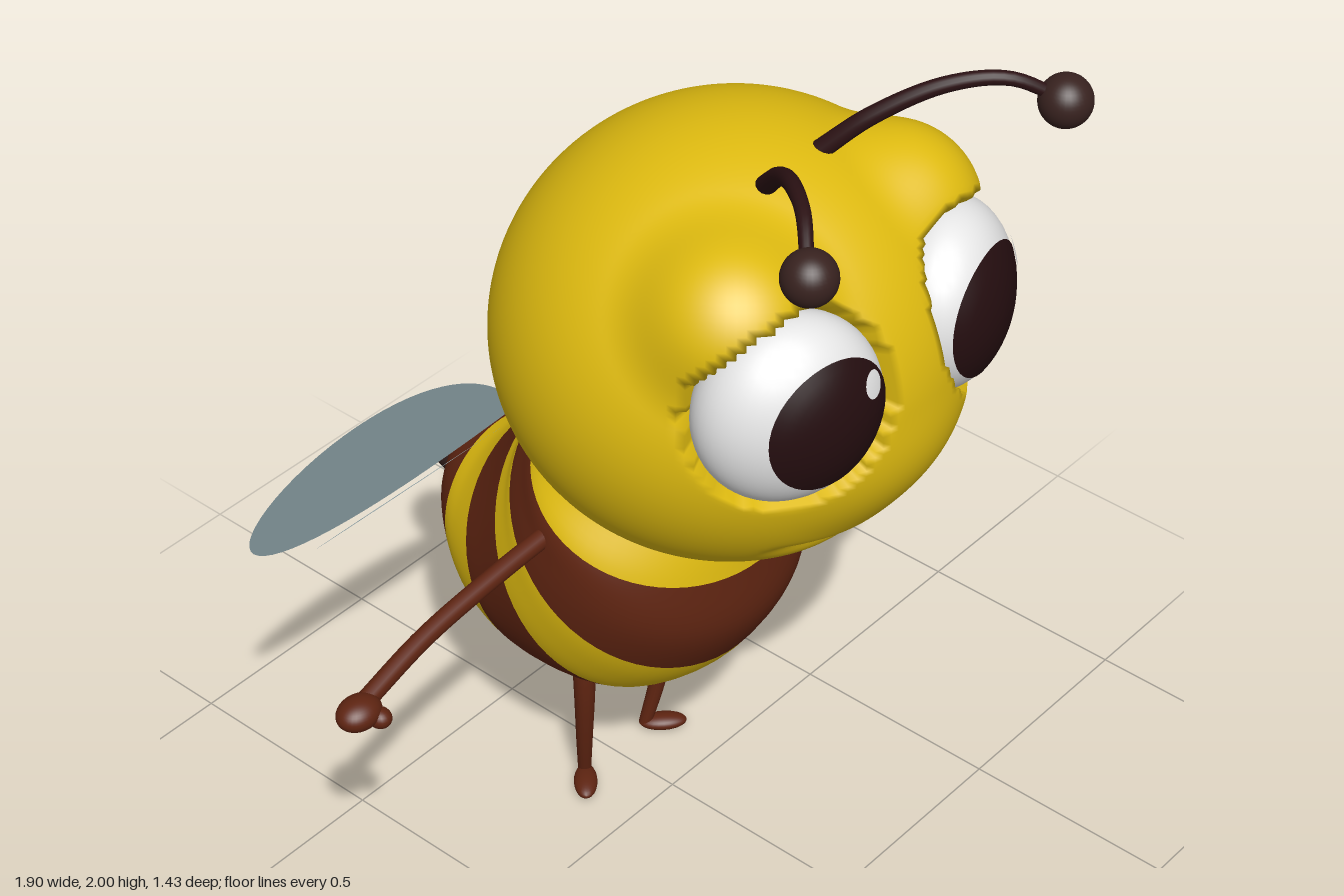
import * as THREE from 'three';
import { mergeVertices } from 'three/addons/utils/BufferGeometryUtils.js';

const V = (x, y, z) => new THREE.Vector3(x, y, z);
const mat = (name, color, extra = {}) => {
  const m = new THREE.MeshStandardMaterial({ color, ...extra });
  m.name = name;
  return m;
};

export function createModel() {
  const yellow = mat('honey yellow', 0xdfbb10);
  const brown = mat('stripe brown', 0x5e2411);
  const dark = mat('dark brown', 0x38221f);
  const feeler = mat('feeler brown', 0x2c1214);
  const white = mat('eye white', 0xe6e6e6);
  const iris = mat('iris', 0x240d0f);
  const glint = mat('glint', 0xf4f4f4);
  const wingBlue = mat('wing blue', 0xb9d3da, { side: THREE.DoubleSide });

  const model = new THREE.Group();
  model.name = 'bee';
  const add = (name, geometry, material) => {
    const mesh = new THREE.Mesh(geometry, material);
    mesh.name = name;
    model.add(mesh);
    return mesh;
  };
  const ellipsoid = (name, material, c, r, seg = 32) => {
    const g = new THREE.SphereGeometry(1, seg, Math.round(seg * 0.7));
    const mesh = add(name, g.scale(...r), material);
    mesh.position.set(...c);
    return mesh;
  };
  // Round tube along a curve whose radius runs from r0 to r1
  const limb = (name, material, points, r0, r1) => {
    const curve = new THREE.CatmullRomCurve3(points);
    const n = 28, g = new THREE.TubeGeometry(curve, n, 1, 14);
    const p = g.attributes.position, v = V(0, 0, 0);
    for (let i = 0; i < p.count; i++) {
      const t = Math.floor(i / 15) / n, c = curve.getPointAt(t);
      v.fromBufferAttribute(p, i).sub(c).multiplyScalar(r0 + (r1 - r0) * t).add(c);
      p.setXYZ(i, v.x, v.y, v.z);
    }
    return add(name, g, material);
  };

  // Eye ellipsoids, turned outwards; also used for the sockets
  const eyeR = V(0.195, 0.203, 0.14);
  const eyeMatrix = (s) => new THREE.Matrix4().compose(
    V(s * 0.247, 1.482, 0.502),
    new THREE.Quaternion().setFromAxisAngle(V(0, 1, 0), s * 0.44), eyeR);
  const eyeInverse = eyeMatrix(1).invert();

  // Head: skull, brows and muzzle blended, with eye sockets cut out
  const blob = (p, c, r) =>
    (Math.hypot((p.x - c[0]) / r[0], (p.y - c[1]) / r[1], (p.z - c[2]) / r[2]) - 1) * Math.min(...r);
  const smin = (a, b, k) => {
    const h = Math.max(k - Math.abs(a - b), 0) / k;
    return Math.min(a, b) - h * h * k / 4;
  };
  const headField = (p) => {
    const q = V(Math.abs(p.x), p.y, p.z);
    let d = blob(q, [0, 1.38, 0.16], [0.5, 0.475, 0.49]);
    d = smin(d, blob(q, [0.25, 1.62, 0.36], [0.18, 0.18, 0.185]), 0.06);
    d = smin(d, blob(q, [0, 1.305, 0.39], [0.31, 0.22, 0.255]), 0.03);
    const socket = (q.applyMatrix4(eyeInverse).length() - 1) * 0.14 - 0.004;
    return -smin(-d, socket, 0.02);
  };
  const headCentre = V(0, 1.38, 0.16);
  let head = new THREE.SphereGeometry(1, 160, 120);
  head.deleteAttribute('uv');
  head.deleteAttribute('normal');
  head = mergeVertices(head, 1e-5);
  const hp = head.attributes.position, dir = V(0, 0, 0), pt = V(0, 0, 0);
  const along = (t) => pt.copy(dir).multiplyScalar(t).add(headCentre);
  for (let i = 0; i < hp.count; i++) {
    dir.fromBufferAttribute(hp, i).normalize();
    let hi = 0.75;
    while (hi > 0.1 && headField(along(hi)) > 0) hi -= 0.012;
    let lo = hi;
    hi += 0.012;
    for (let k = 0; k < 14; k++) {
      const m = (lo + hi) / 2;
      if (headField(along(m)) > 0) hi = m; else lo = m;
    }
    along(lo);
    // Smile crease
    if (pt.z > 0.3 && Math.abs(pt.x) < 0.27) {
      const off = (pt.y - (1.06 + 0.6 * pt.x * pt.x)) / 0.022;
      const fade = 1 - (pt.x / 0.27) ** 2;
      along(lo - 0.03 * fade * Math.exp(-off * off));
    }
    hp.setXYZ(i, pt.x, pt.y, pt.z);
  }
  head.computeVertexNormals();
  add('head', head, yellow);

  // Striped body: rings given by belly point (z, y), back point (z, y) and half width
  const rings = [
    [0.15, 1.1, -0.2, 1.15, 0.22], [0.22, 0.93, -0.235, 1.08, 0.28],
    [0.243, 0.8, -0.262, 1.04, 0.335], [0.25, 0.66, -0.287, 1.02, 0.352],
    [0.19, 0.535, -0.307, 1.0, 0.357], [0.12, 0.45, -0.318, 0.98, 0.352],
    [0.03, 0.38, -0.335, 0.96, 0.342], [-0.09, 0.345, -0.375, 0.91, 0.322],
    [-0.2, 0.34, -0.42, 0.86, 0.3], [-0.33, 0.365, -0.46, 0.825, 0.265],
    [-0.435, 0.43, -0.505, 0.8, 0.22], [-0.54, 0.52, -0.56, 0.775, 0.15],
    [-0.59, 0.6, -0.6, 0.75, 0.075]];
  const belly = new THREE.CatmullRomCurve3(rings.map((r) => V(r[4], r[1], r[0])));
  const back = new THREE.CatmullRomCurve3(rings.map((r) => V(0, r[3], r[2])));
  const around = 64, sub = 6, rows = (rings.length - 1) * sub;
  const pos = [], idx = [];
  for (let j = 0; j <= rows; j++) {
    const a = belly.getPoint(j / rows), b = back.getPoint(j / rows);
    for (let i = 0; i < around; i++) {
      const t = i / around * Math.PI * 2, s = Math.sin(t) / 2;
      pos.push(a.x * Math.cos(t), (a.y + b.y) / 2 + (a.y - b.y) * s, (a.z + b.z) / 2 + (a.z - b.z) * s);
      if (j === rows) continue;
      const p = j * around + i, q = j * around + (i + 1) % around;
      idx.push(p, q, p + around, q, q + around, p + around);
    }
  }
  const body = new THREE.BufferGeometry();
  body.setAttribute('position', new THREE.Float32BufferAttribute(pos, 3));
  body.setIndex(idx);
  body.computeVertexNormals();
  const stripe = 2 * sub * around * 6;
  for (let k = 0; k < 6; k++) body.addGroup(k * stripe, stripe, k % 2);
  add('stripedBody', body, [yellow, brown]);
  ellipsoid('stinger', dark, [0, 0.683, -0.592], [0.083, 0.083, 0.125]).rotation.x = 0.12;

  // Disc laid over the front of an eye
  const eyeDisc = (name, material, matrix, x, y, r, lift) => {
    const g = new THREE.RingGeometry(0, r, 40, 8).translate(x, y, 0);
    const p = g.attributes.position, inv = matrix.clone().invert();
    const ball = new THREE.Sphere(V(0, 0, 0), lift), hit = V(0, 0, 0);
    for (let i = 0; i < p.count; i++) {
      const ray = new THREE.Ray(V(p.getX(i), p.getY(i), 2), V(0, 0, -1)).applyMatrix4(inv);
      if (!ray.intersectSphere(ball, hit)) continue;
      hit.applyMatrix4(matrix);
      p.setXYZ(i, hit.x, hit.y, hit.z);
    }
    g.computeVertexNormals();
    add(name, g, material);
  };

  // Teardrop wing from its root, along an axis, spread towards 'side'
  const wing = (name, s, root, axis, side, length, half) => {
    const outline = [];
    for (let i = 0; i < 64; i++) {
      const t = i / 64 * Math.PI * 2;
      outline.push(new THREE.Vector2(length * (1 - Math.cos(t)) / 2,
        half / 0.77 * Math.sin(t) * Math.abs(Math.sin(t / 2))));
    }
    const u = axis.clone().normalize();
    const w = u.clone().cross(side).normalize();
    const v = w.clone().cross(u);
    for (const a of [root, u, v, w]) a.x *= s;
    const m = new THREE.Matrix4().makeBasis(u, v, w.multiplyScalar(s)).setPosition(root);
    add(name, new THREE.ShapeGeometry(new THREE.Shape(outline)).applyMatrix4(m), wingBlue);
  };

  for (const [s, side] of [[1, 'left'], [-1, 'right']]) {
    // Eyes
    const m = eyeMatrix(s);
    add(side + 'Eye', new THREE.SphereGeometry(1, 48, 32).applyMatrix4(m), white);
    eyeDisc(side + 'Iris', iris, m, s * 0.247, 1.49, 0.141, 1.02);
    eyeDisc(side + 'Glint', glint, m, s > 0 ? 0.372 : -0.165, 1.555, 0.027, 1.04);

    // Antennae
    limb(side + 'Antenna', feeler, [V(s * 0.08, 1.81, 0.3), V(s * 0.14, 1.9, 0.385),
      V(s * 0.23, 1.97, 0.49), V(s * 0.31, 1.983, 0.58), V(s * 0.39, 1.93, 0.655)], 0.021, 0.013);
    ellipsoid(side + 'AntennaTip', dark, [s * 0.39, 1.928, 0.66], [0.055, 0.055, 0.055]);

    // Arms and hands
    limb(side + 'Arm', brown, [V(s * 0.24, 0.905, -0.07), V(s * 0.45, 0.885, -0.075),
      V(s * 0.68, 0.855, -0.075), V(s * 0.88, 0.815, -0.06)], 0.022, 0.021);
    ellipsoid(side + 'Hand', brown, [s * 0.9, 0.812, -0.05], [0.052, 0.034, 0.042]);
    ellipsoid(side + 'Thumb', brown, [s * 0.872, 0.797, -0.02], [0.024, 0.022, 0.026], 20);

    // Legs and feet
    limb(side + 'Leg', brown, [V(s * 0.137, 0.42, -0.14), V(s * 0.138, 0.28, -0.14),
      V(s * 0.125, 0.14, -0.155), V(s * 0.105, 0.015, -0.175)], 0.028, 0.015);
    ellipsoid(side + 'Foot', brown, [s * 0.135, 0.018, -0.145], [0.055, 0.018, 0.027], 24)
      .rotation.y = -s * 0.75;

    // Wings
    wing(side + 'UpperWing', s, V(0.08, 0.955, -0.37), V(0.56, 0.16, 0.045), V(0, 0.89, 0.455), 0.825, 0.25);
    wing(side + 'LowerWing', s, V(0.09, 0.875, -0.415), V(0.27, -0.115, -0.11), V(0, 0.73, 0.68), 0.48, 0.145);
  }
  return model;
}
